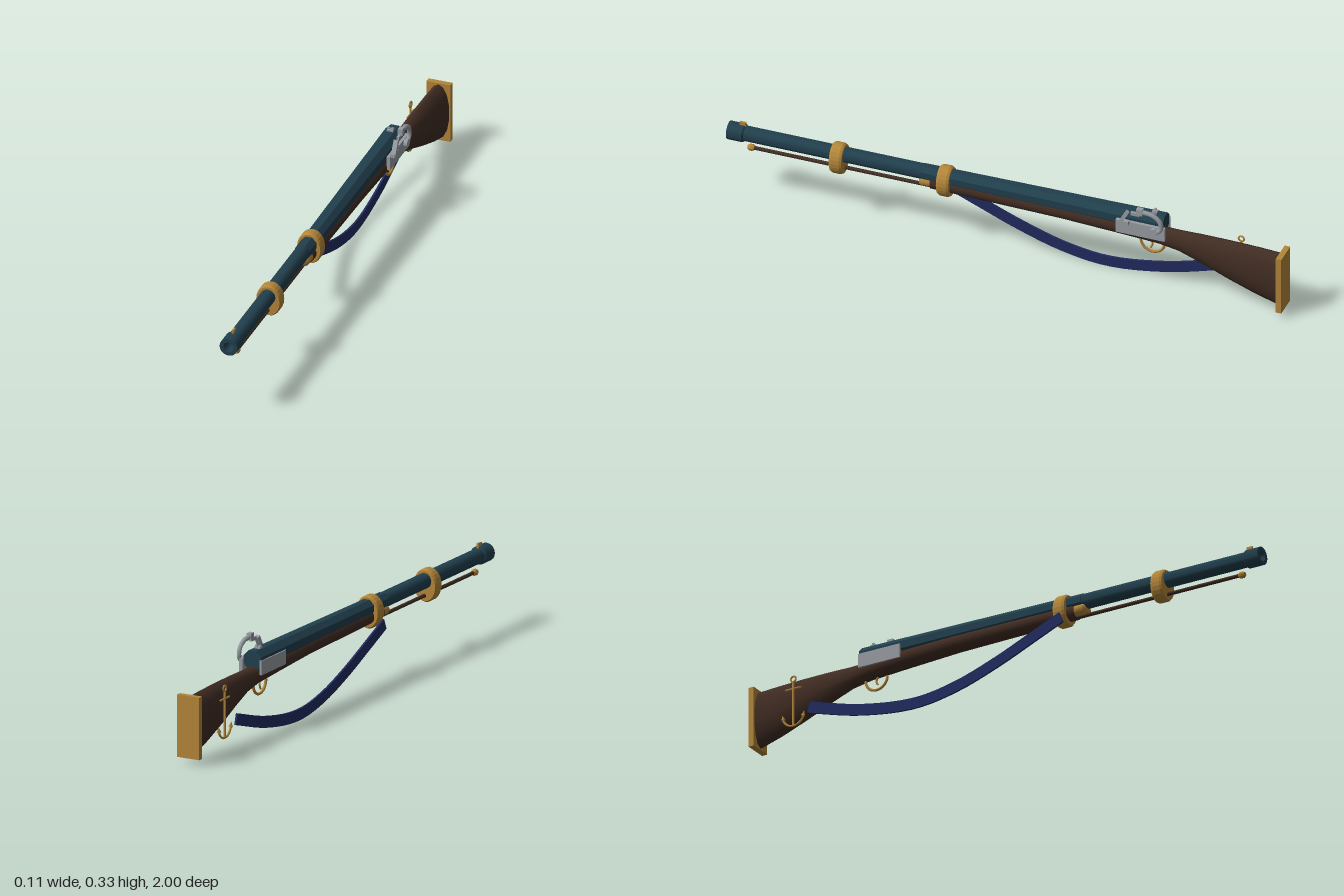
import * as THREE from 'three';
import { toCreasedNormals } from 'three/addons/utils/BufferGeometryUtils.js';

const CX = -0.005; // barrel and stock centre line
const AXIS = 0.26; // barrel height

const mat = (name, color) => {
  const m = new THREE.MeshStandardMaterial({ color });
  m.name = name;
  return m;
};

export function createModel() {
  const root = new THREE.Group();
  root.name = 'musket';
  const wood = mat('dark walnut', 0x412d23);
  const steel = mat('blued steel', 0x213f4d);
  const brass = mat('brass', 0xb3863a);
  const silver = mat('lock silver', 0x989da3);
  const cloth = mat('navy strap', 0x212b60);
  cloth.side = THREE.DoubleSide;

  const add = (name, geo, material, x = 0, y = 0, z = 0, parent = root) => {
    const mesh = new THREE.Mesh(geo, material);
    mesh.name = name;
    mesh.position.set(x, y, z);
    parent.add(mesh);
    return mesh;
  };
  const box = (w, h, d) => new THREE.BoxGeometry(w, h, d);
  // Turned part with its axis along z; points are [radius, z]
  const turned = (pts, sides) => toCreasedNormals(
    new THREE.LatheGeometry(pts.map(([r, z]) => new THREE.Vector2(r, z)), sides).rotateX(Math.PI / 2), 0.6);
  // Round bar through [z, y] points in a side-on plane
  const bar = (pts, r, sides = 6) => new THREE.TubeGeometry(
    new THREE.CatmullRomCurve3(pts.map(([z, y]) => new THREE.Vector3(0, y, z))), 16, r, sides);

  // Stock: loft through oval sections [z, bottom, top, half width]
  const sections = [
    [-0.985, 0.026, 0.236, 0.04], [-0.9, 0.052, 0.24, 0.039], [-0.8, 0.09, 0.242, 0.036],
    [-0.7, 0.132, 0.242, 0.031], [-0.62, 0.162, 0.24, 0.027], [-0.55, 0.176, 0.24, 0.03],
    [-0.4, 0.186, 0.252, 0.035], [-0.2, 0.196, 0.256, 0.034], [0.05, 0.199, 0.256, 0.031],
    [0.27, 0.202, 0.256, 0.028],
  ];
  const N = 14, pos = [], idx = [];
  for (const [z, lo, hi, w] of sections) {
    for (let i = 0; i < N; i++) {
      const a = (i / N) * Math.PI * 2 + Math.PI / 2;
      pos.push(CX + w * Math.cos(a), (lo + hi) / 2 + ((hi - lo) / 2) * Math.sin(a), z);
    }
  }
  for (let s = 0; s < sections.length - 1; s++) {
    for (let i = 0; i < N; i++) {
      const a = s * N + i, b = s * N + ((i + 1) % N);
      idx.push(a, b, b + N, a, b + N, a + N);
    }
  }
  const end = (sections.length - 1) * N;
  for (let i = 1; i < N - 1; i++) idx.push(0, i + 1, i, end, end + i, end + i + 1);
  const stockGeo = new THREE.BufferGeometry();
  stockGeo.setAttribute('position', new THREE.Float32BufferAttribute(pos, 3));
  stockGeo.setIndex(idx);
  add('stock', toCreasedNormals(stockGeo, 0.8), wood);
  add('buttPlate', box(0.086, 0.218, 0.02), brass, CX, 0.131, -0.99);

  // Barrel: eight-sided breech, round front, flared muzzle with bore
  const breech = new THREE.CylinderGeometry(0.029, 0.037, 0.87, 8, 1, false, Math.PI / 8).rotateX(Math.PI / 2);
  add('breech', toCreasedNormals(breech, 0.3), steel, CX, AXIS, -0.135);
  add('barrel', turned([[0.027, 0.2], [0.0265, 0.94], [0.032, 0.945], [0.032, 1],
    [0.018, 1], [0.015, 0.93], [0, 0.93]], 20), steel, CX, AXIS);

  // Barrel bands
  for (const z of [0.22, 0.605]) {
    const band = turned([[0, -0.022], [0.92, -0.022], [1, -0.014], [1, 0.014], [0.92, 0.022], [0, 0.022]], 24);
    band.scale(0.045, 0.058, 1);
    band.computeVertexNormals();
    add('barrelBand', band, brass, CX, 0.242, z);
  }
  const cap = turned([[0, -0.03], [1, -0.03], [1, 0.024], [0.85, 0.03], [0, 0.03]], 14);
  add('foreEndCap', cap.scale(0.026, 0.022, 1), brass, CX, 0.23, 0.28);

  // Ramrod
  add('ramrod', turned([[0, 0.2], [0.0065, 0.2], [0.0065, 0.915], [0, 0.915]], 10), wood, CX, 0.208);
  add('ramrodTip', turned([[0, 0.908], [0.008, 0.908], [0.012, 0.915], [0.012, 0.925], [0.008, 0.932], [0, 0.932]], 8),
    brass, CX, 0.208);

  // Sights
  add('frontSight', box(0.007, 0.018, 0.022), brass, CX, 0.295, 0.95);
  add('rearSightBase', box(0.022, 0.007, 0.018), silver, CX, 0.296, -0.53);
  for (const s of [-1, 1]) add('rearSightEar', box(0.008, 0.012, 0.008), silver, CX + s * 0.007, 0.299, -0.53);

  // Lock plates on both sides
  add('lockPlate', box(0.012, 0.05, 0.175), silver, 0.034, 0.239, -0.493);
  add('sidePlate', box(0.009, 0.05, 0.165), silver, -0.038, 0.239, -0.49);

  // Hammer and striking plate
  const lock = new THREE.Group();
  lock.name = 'lock';
  lock.position.x = 0.046;
  root.add(lock);
  add('hammerArm', bar([[-0.545, 0.243], [-0.57, 0.265], [-0.566, 0.295], [-0.54, 0.315], [-0.505, 0.32]], 0.0085),
    silver, 0, 0, 0, lock);
  add('hammerPivot', new THREE.CylinderGeometry(0.015, 0.015, 0.016, 10).rotateZ(Math.PI / 2),
    silver, -0.001, 0.248, -0.545, lock);
  add('hammerJaw', box(0.017, 0.024, 0.022), silver, 0, 0.32, -0.495, lock);
  add('jawScrew', box(0.009, 0.012, 0.03), silver, 0, 0.307, -0.478, lock);
  const strike = add('strikingPlate', box(0.016, 0.055, 0.013), silver, 0, 0.285, -0.437, lock);
  strike.rotation.x = -0.5;
  add('pan', box(0.016, 0.013, 0.04), silver, -0.002, 0.264, -0.435, lock);

  // Trigger and guard
  add('triggerGuard', new THREE.TorusGeometry(0.043, 0.005, 6, 20, Math.PI).rotateZ(Math.PI).rotateY(-Math.PI / 2),
    brass, CX, 0.176, -0.522);
  add('trigger', bar([[-0.515, 0.182], [-0.522, 0.165], [-0.515, 0.148]], 0.0035), brass, CX);

  // Carrying strap: a ribbon of even width along a sagging curve
  const sag = new THREE.CatmullRomCurve3([[0.235, 0.2], [0.12, 0.152], [-0.02, 0.095], [-0.18, 0.044],
    [-0.34, 0.022], [-0.55, 0.048], [-0.76, 0.108]].map(([z, y]) => new THREE.Vector3(z, y, 0)));
  const upper = [], lower = [];
  for (let i = 0; i <= 28; i++) {
    const p = sag.getPoint(i / 28), t = sag.getTangent(i / 28);
    upper.push(new THREE.Vector2(p.x + t.y * 0.02, p.y - t.x * 0.02));
    lower.unshift(new THREE.Vector2(p.x - t.y * 0.02, p.y + t.x * 0.02));
  }
  const strap = new THREE.ExtrudeGeometry(new THREE.Shape([...upper, ...lower]), { depth: 0.007, bevelEnabled: false });
  add('strap', strap.rotateY(-Math.PI / 2), cloth, -0.048);

  // Anchor-shaped strap mount on the butt
  const mount = new THREE.Group();
  mount.name = 'anchorMount';
  mount.position.set(-0.046, 0, -0.825);
  root.add(mount);
  add('anchorRing', new THREE.TorusGeometry(0.01, 0.0032, 6, 14).rotateY(Math.PI / 2), brass, 0, 0.231, 0, mount);
  add('anchorShank', new THREE.CylinderGeometry(0.004, 0.004, 0.165, 8), brass, 0, 0.14, 0, mount);
  add('anchorStock', new THREE.CylinderGeometry(0.0035, 0.0035, 0.06, 8).rotateX(Math.PI / 2), brass, 0, 0.195, 0, mount);
  const arc = Math.PI * 0.85;
  add('anchorArms', new THREE.TorusGeometry(0.042, 0.004, 6, 18, arc).rotateZ(1.5 * Math.PI - arc / 2).rotateY(-Math.PI / 2),
    brass, 0, 0.1, 0, mount);
  for (const s of [-1, 1]) {
    const fluke = add('anchorFluke', new THREE.ConeGeometry(0.008, 0.02, 6), brass, 0, 0.096, s * 0.041, mount);
    fluke.rotation.x = s * 0.2;
  }
  return root;
}
